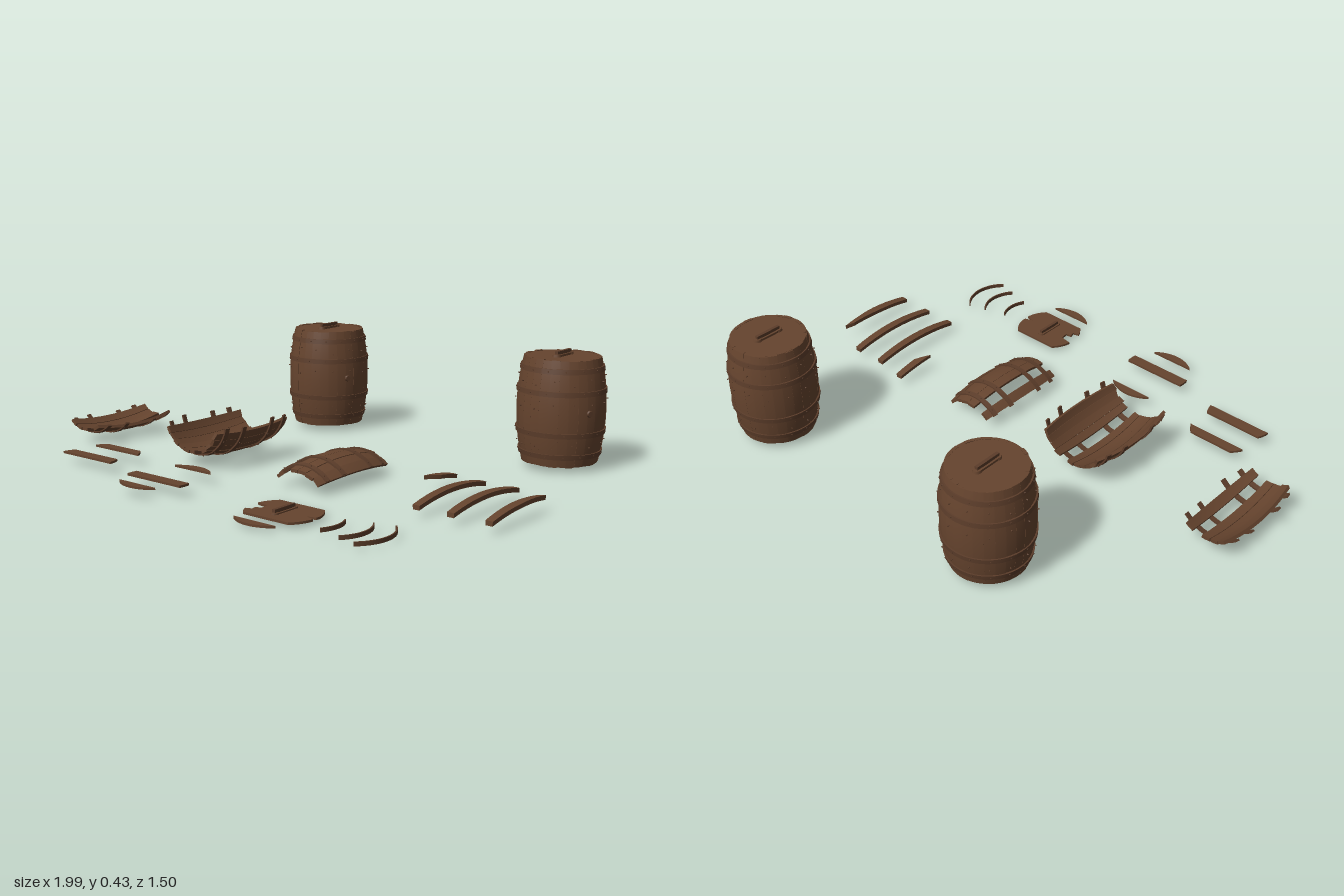
import * as THREE from 'three';

const wood = new THREE.MeshStandardMaterial({ color: 0x66442e });
wood.name = 'wood';
const hoopMat = new THREE.MeshStandardMaterial({ color: 0x5c3d2a });
hoopMat.name = 'hoop';

const HALF = 0.195; // half the barrel height
const LID_R = 0.13;
const HOOPS = [-0.155, -0.075, 0.075, 0.155];
const rad = (d) => d * Math.PI / 180;
const bulge = (y) => 0.161 - 0.023 * (y / HALF) ** 2;

let seed = 7;
const rand = () => (seed = (seed * 16807) % 2147483647) / 2147483647;
const jit = (a) => (rand() * 2 - 1) * a;

function add(group, geo, mat, name, x = 0, y = 0, z = 0) {
  const m = new THREE.Mesh(geo, mat);
  m.name = name;
  m.position.set(x, y, z);
  group.add(m);
  return m;
}

// Box bent around the y axis: x becomes angle (degrees), z becomes radius
function curved(a0, a1, y0, y1, lift, thick, { skew0 = 0, skew1 = 0, rows = 10, taper = 0 } = {}) {
  const cols = Math.max(2, Math.ceil((a1 - a0) / 8));
  const g = new THREE.BoxGeometry(1, 1, 1, cols, rows, 1);
  const p = g.attributes.position;
  for (let i = 0; i < p.count; i++) {
    const u = p.getX(i), v = p.getY(i) + 0.5;
    const narrow = 1 - taper * Math.max(0, v - 0.55) / 0.45;
    const a = rad((a0 + a1) / 2 + (a1 - a0) * u * narrow);
    const y = y0 + (y1 - y0) * v + u * (skew0 * (1 - v) + skew1 * v);
    const r = bulge(y) + lift - thick * (0.5 - p.getZ(i));
    p.setXYZ(i, r * Math.sin(a), y, r * Math.cos(a));
  }
  g.computeVertexNormals();
  return g;
}

function rivet(group, deg, y, r = 0.0035, name = 'rivet') {
  const a = rad(deg), d = bulge(y) + 0.004;
  const m = add(group, new THREE.CylinderGeometry(r * 0.8, r, 0.006, 8), hoopMat, name,
    d * Math.sin(a), y, d * Math.cos(a));
  m.rotation.set(Math.PI / 2, 0, -a, 'YXZ');
  m.rotation.set(Math.PI / 2, a, 0, 'YXZ');
}

// Hoop with rivets
function hoop(group, a0, a1, y) {
  add(group, curved(a0, a1, y - 0.009, y + 0.009, 0.005, 0.007, { rows: 1 }), hoopMat, 'hoop');
  for (let a = a0 + 10; a < a1 - 5; a += 24) rivet(group, a, y, 0.003);
}

// Handle: two end plates carrying a bar
function handle(group, x, y, z) {
  for (const s of [-1, 1]) {
    const plate = add(group, new THREE.CylinderGeometry(0.014, 0.016, 0.009, 12), wood, 'handlePlate', x, y + 0.0045, z + s * 0.045);
    plate.scale.z = 1.1;
  }
  add(group, new THREE.BoxGeometry(0.026, 0.008, 0.09), wood, 'handleBase', x, y + 0.004, z);
  add(group, new THREE.BoxGeometry(0.012, 0.012, 0.1), hoopMat, 'handleBar', x, y + 0.014, z);
}

function barrel(x, z) {
  const g = new THREE.Group();
  g.name = 'barrel';
  g.position.set(x, 0.215, z);
  const step = 360 / 28;
  for (let i = 0; i < 28; i++) {
    add(g, curved(i * step, (i + 1) * step, -HALF + rand() * 0.003, HALF - rand() * 0.004, jit(0.001), 0.012), wood, 'stave');
    if (i % 2) for (const y of [-0.115, 0.03, 0.115]) rivet(g, (i + 0.5) * step, y + jit(0.012), 0.0025, 'nail');
  }
  for (const y of HOOPS) hoop(g, 0, 360, y);
  add(g, new THREE.CylinderGeometry(0.133, 0.133, 0.012, 48), wood, 'lid', 0, HALF - 0.009, 0);
  add(g, new THREE.CylinderGeometry(0.133, 0.133, 0.012, 48), wood, 'bottom', 0, 0.012 - HALF, 0);
  handle(g, 0, HALF - 0.003, 0);
  rivet(g, 67, 0.005, 0.013, 'bung');
  return g;
}

// Broken barrel side lying along z: runs of staves held by torn hoops
function fragment(x, y, up, runs, h0, h1) {
  const g = new THREE.Group();
  g.name = 'brokenBarrelSide';
  g.position.set(x, y, 0.115);
  g.rotation.x = up * Math.PI / 2;
  for (const [a0, a1, n] of runs) {
    const w = (a1 - a0) / n;
    for (let i = 0; i < n; i++) {
      add(g, curved(a0 + i * w, a0 + (i + 1) * w - 0.4, -HALF + rand() * 0.006, HALF - rand() * 0.006, jit(0.0015), 0.012,
        { skew0: jit(0.006), skew1: jit(0.006) }), wood, 'stave');
    }
  }
  for (const h of HOOPS) hoop(g, h0 + rand() * 7, h1 - rand() * 7, h);
  return g;
}

function looseStave(x, y, y0, y1, opts) {
  const m = new THREE.Mesh(curved(-5.5, 5.5, y0, y1, 0.004, 0.016, opts), wood);
  m.name = 'looseStave';
  m.position.set(x, y, 0.115);
  m.rotation.x = -Math.PI / 2;
  return m;
}

function slab(pts, name, x, y, z, depth = 0.008) {
  const geo = new THREE.ExtrudeGeometry(new THREE.Shape(pts), { depth, bevelEnabled: false });
  geo.rotateX(-Math.PI / 2);
  const m = new THREE.Mesh(geo, wood);
  m.name = name;
  m.position.set(x, y, z);
  return m;
}

// Arc of the lid edge between two chord heights
function edge(d0, d1, side) {
  const a0 = Math.asin(d0 / LID_R), a1 = Math.asin(d1 / LID_R);
  return Array.from({ length: 13 }, (_, i) => {
    const a = a0 + (a1 - a0) * i / 12;
    return new THREE.Vector2(side * LID_R * Math.cos(a), LID_R * Math.sin(a));
  });
}
const strip = (d0, d1) => [...edge(d0, d1, 1), ...edge(d1, d0, -1)];

export function createModel() {
  const root = new THREE.Group();
  root.name = 'barrelsAndWreckage';

  // Whole barrels
  root.add(barrel(-0.375, -0.59), barrel(0.715, -0.59));

  // Broken sides: two cradles and one arch
  root.add(fragment(-0.875, 0.19, 1, [[-37, 5, 3], [20, 35, 1]], -50, 50));
  root.add(fragment(-0.29, 0.19, 1, [[-66, 7, 6], [22, 70, 4]], -80, 82));
  root.add(fragment(0.215, -0.063, -1, [[-42, -28, 1], [-12, 45, 4]], -50, 50));

  // Loose staves, two of them snapped
  root.add(looseStave(0.71, -0.1, -HALF, HALF));
  root.add(looseStave(0.84, -0.1, -HALF, HALF));
  root.add(looseStave(0.98, -0.1, -HALF, 0.115, { taper: 0.5, skew1: 0.035 }));
  const half = looseStave(0.58, -0.1, -0.195, -0.07, { skew0: 0, skew1: 0.05, taper: 0.5 });
  half.rotation.set(-Math.PI / 2, Math.PI, 0);
  half.rotation.set(Math.PI / 2, 0, Math.PI);
  half.position.set(0.58, 0.19, 0.095);
  half.geometry.dispose();
  half.geometry = curved(-5.5, 5.5, 0.065, 0.195, 0.004, 0.014, { skew0: 0.06 });
  half.rotation.set(-Math.PI / 2, 0, 0);
  half.position.y = -0.1;
  root.add(half);

  // Separated lid boards: chord range and lid centre
  const boards = [
    [0.058, 0.096, -0.575, 0.473], [0.016, 0.06, -0.575, 0.576],
    [0.096, 0.1299, -0.153, 0.536], [-0.022, 0.022, -0.153, 0.608], [-0.1299, -0.096, -0.155, 0.605],
  ];
  for (const [d0, d1, x, z] of boards) root.add(slab(strip(d0, d1), 'lidBoard', x, 0.036, z));
  root.add(slab(strip(-0.1299, -0.096), 'lidBoard', 0.383, 0.012, 0.615));

  // Broken lid with a notch on its left edge and a crack on the other
  const v = (x, y) => new THREE.Vector2(x, y);
  const lid = [
    ...edge(-0.09, -0.012, 1), v(0.095, -0.002), v(0.127, 0.008), ...edge(0.02, 0.09, 1),
    ...edge(0.09, 0.02, -1), v(-0.082, 0.012), v(-0.078, -0.02), v(-0.1, -0.024), v(-0.095, -0.045),
    v(-0.118, -0.052), ...edge(-0.06, -0.09, -1),
  ];
  root.add(slab(lid, 'brokenLid', 0.383, 0.012, 0.57));
  handle(root, 0.383, 0.016, 0.57);
  add(root, new THREE.BoxGeometry(0.026, 0.012, 0.12), wood, 'handleUnderside', 0.383, 0.006, 0.57);

  // Loose hoop pieces lying flat: radius, half angle, outermost x
  for (const [r, half, x, z] of [[0.118, 32, 0.62, 0.592], [0.133, 41, 0.725, 0.592], [0.147, 47, 0.81, 0.592]]) {
    const s = new THREE.Shape();
    s.absarc(0, 0, r, -rad(half), rad(half), false);
    s.absarc(0, 0, r - 0.005, rad(half), -rad(half), true);
    const geo = new THREE.ExtrudeGeometry(s, { depth: 0.014, bevelEnabled: false, curveSegments: 20 });
    geo.rotateX(-Math.PI / 2);
    add(root, geo, hoopMat, 'hoopPiece', x - r, 0.012, z);
  }
  return root;
}
